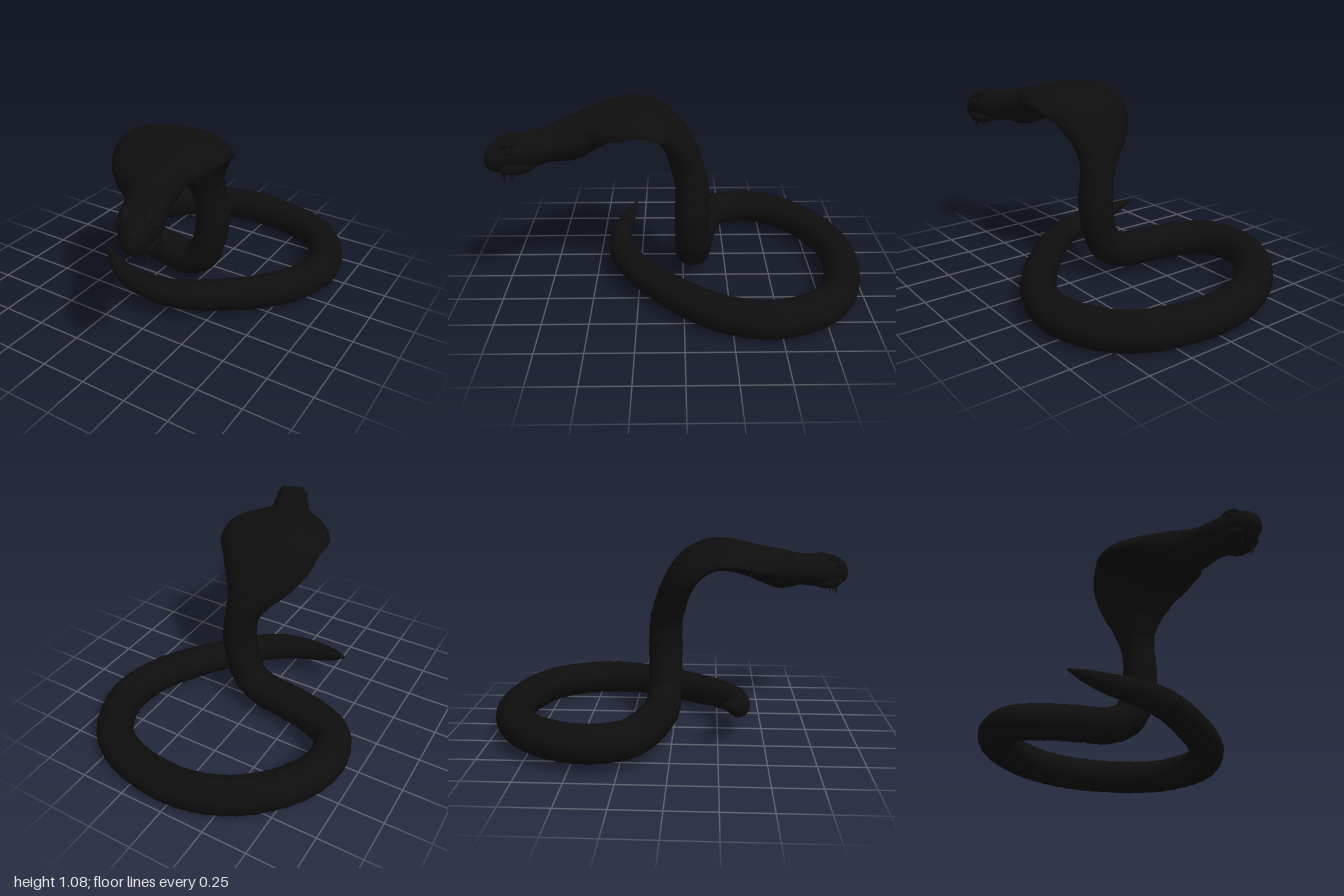
import * as THREE from 'three';

const black = new THREE.MeshStandardMaterial({ color: 0x0e0e0e });
black.name = 'black scales';

// Stations from tail tip to snout: x, y, z, half width, half height
const tailAndCoil = [
  [-0.40, 0.29, 0.28, 0.006, 0.006], [-0.32, 0.253, 0.315, 0.033, 0.033],
  [-0.22, 0.21, 0.355, 0.052, 0.052], [-0.09, 0.185, 0.362, 0.066, 0.066],
  [0.06, 0.165, 0.33, 0.077, 0.077], [0.2, 0.148, 0.24, 0.084, 0.084],
  [0.33, 0.132, 0.12, 0.089, 0.089], [0.44, 0.12, 0.0, 0.093, 0.093],
  [0.57, 0.11, -0.2, 0.096, 0.096], [0.62, 0.105, -0.42, 0.1, 0.1],
  [0.58, 0.105, -0.6, 0.1, 0.1], [0.47, 0.105, -0.76, 0.1, 0.1],
  [0.28, 0.108, -0.86, 0.1, 0.1], [-0.03, 0.115, -0.9, 0.1, 0.1],
  [-0.27, 0.125, -0.84, 0.1, 0.1], [-0.46, 0.138, -0.71, 0.1, 0.1],
  [-0.59, 0.15, -0.53, 0.1, 0.1], [-0.62, 0.155, -0.36, 0.1, 0.1],
  [-0.56, 0.157, -0.21, 0.1, 0.1], [-0.41, 0.155, -0.13, 0.1, 0.1],
  [-0.23, 0.15, -0.085, 0.1, 0.1], [-0.07, 0.15, -0.06, 0.1, 0.1],
];
const neckHoodAndHead = [
  [0.03, 0.2, -0.05, 0.097, 0.097], [0.08, 0.3, -0.05, 0.094, 0.096],
  [0.105, 0.46, -0.05, 0.095, 0.097], [0.09, 0.62, -0.045, 0.096, 0.092],
  [0.065, 0.72, -0.02, 0.13, 0.09], [0.042, 0.83, 0.02, 0.205, 0.085],
  [0.032, 0.93, 0.09, 0.262, 0.085], [0.045, 0.99, 0.19, 0.29, 0.085],
  [0.055, 0.995, 0.3, 0.29, 0.085], [0.075, 0.965, 0.42, 0.25, 0.088],
  [0.11, 0.93, 0.52, 0.185, 0.1], [0.155, 0.905, 0.6, 0.128, 0.108],
  [0.2, 0.897, 0.7, 0.106, 0.09], [0.245, 0.885, 0.8, 0.108, 0.092],
  [0.28, 0.876, 0.88, 0.092, 0.092], [0.303, 0.862, 0.94, 0.064, 0.076],
  [0.316, 0.855, 0.98, 0.038, 0.048], [0.32, 0.855, 0.995, 0.012, 0.014],
];

// Sweep a changing cross-section along the spine
function sweptBody(stations) {
  const steps = (stations.length - 1) * 10, sides = 32;
  const spine = new THREE.CatmullRomCurve3(stations.map(s => new THREE.Vector3(s[0], s[1], s[2])));
  const sizes = new THREE.CatmullRomCurve3(
    stations.map(s => new THREE.Vector3(s[3], s[4], 0)), false, 'catmullrom', 0.5);

  // Carry one side direction from the head back to the tail, without twist
  const frames = [];
  let side = new THREE.Vector3(1, 0.08, 0);
  for (let i = steps; i >= 0; i--) {
    const T = spine.getTangent(i / steps);
    side = side.clone().addScaledVector(T, -side.dot(T)).normalize();
    frames[i] = { S: side, N: T.clone().cross(side) };
  }

  const pos = [], index = [];
  let length = 0, last = spine.getPoint(0);
  for (let i = 0; i <= steps; i++) {
    const p = spine.getPoint(i / steps), r = sizes.getPoint(i / steps);
    length += p.distanceTo(last);
    last = p;
    const flare = THREE.MathUtils.clamp((r.x / r.y - 1) / 2, 0, 1);
    // Overlapping scale bands on the round body, fading out on the hood
    const onHead = p.z > 0.5 && p.y > 0.5;
    const band = onHead ? 1 : 1.015 - 0.04 * (1 - flare) * ((length / 0.075) % 1);
    const { S, N } = frames[i];
    for (let j = 0; j < sides; j++) {
      const a = j / sides * Math.PI * 2, c = Math.cos(a), s = Math.sin(a);
      // The hood is hollow underneath and its rims droop
      const hollow = s < 0 ? 1 - 0.7 * flare * c * c : 1;
      const up = r.y * s * hollow * band - 0.025 * flare * c ** 4;
      const v = p.clone().addScaledVector(S, r.x * c * band).addScaledVector(N, up);
      pos.push(v.x, v.y, v.z);
    }
  }
  for (let i = 0; i < steps; i++) {
    for (let j = 0; j < sides; j++) {
      const a = i * sides + j, b = i * sides + (j + 1) % sides;
      index.push(a, b, a + sides, b, b + sides, a + sides);
    }
  }
  // Close tail tip and snout
  const first = spine.getPoint(0), end = spine.getPoint(1);
  const n = pos.length / 3, base = steps * sides;
  pos.push(first.x, first.y, first.z, end.x, end.y, end.z);
  for (let j = 0; j < sides; j++) {
    const k = (j + 1) % sides;
    index.push(n, k, j, n + 1, base + j, base + k);
  }
  const geometry = new THREE.BufferGeometry();
  geometry.setAttribute('position', new THREE.Float32BufferAttribute(pos, 3));
  geometry.setIndex(index);
  geometry.computeVertexNormals();
  return geometry;
}

export function createModel() {
  const model = new THREE.Group();
  model.name = 'snake';
  const add = (parent, name, geometry, x = 0, y = 0, z = 0) => {
    const mesh = new THREE.Mesh(geometry, black);
    mesh.name = name;
    mesh.position.set(x, y, z);
    parent.add(mesh);
    return mesh;
  };

  add(model, 'body', sweptBody([...tailAndCoil, ...neckHoodAndHead]));

  // Head details, turned with the head
  const head = new THREE.Group();
  head.name = 'headDetails';
  head.position.set(0.285, 0.876, 0.89);
  head.rotation.y = 0.36;
  model.add(head);
  for (const m of [-1, 1]) {
    const side = m > 0 ? 'left' : 'right';
    const brow = add(head, side + 'Brow', new THREE.SphereGeometry(1, 16, 10), m * 0.05, 0.072, -0.02);
    brow.scale.set(0.028, 0.025, 0.055);
    brow.rotation.x = 0.2;
    add(head, side + 'Eye', new THREE.SphereGeometry(0.02, 16, 10), m * 0.076, 0.04, 0.0);
    const jaw = add(head, side + 'Jaw', new THREE.SphereGeometry(1, 16, 10), m * 0.055, -0.055, -0.04);
    jaw.scale.set(0.04, 0.038, 0.09);
    // One long fang and one short tooth, points down
    const fang = add(head, side + 'Fang', new THREE.ConeGeometry(0.012, 0.085, 10), m * 0.036, -0.106, 0.025);
    fang.rotation.x = Math.PI - 0.1;
    const tooth = add(head, side + 'Tooth', new THREE.ConeGeometry(0.009, 0.05, 8), m * 0.062, -0.095, -0.01);
    tooth.rotation.x = Math.PI - 0.1;
  }
  return model;
}
